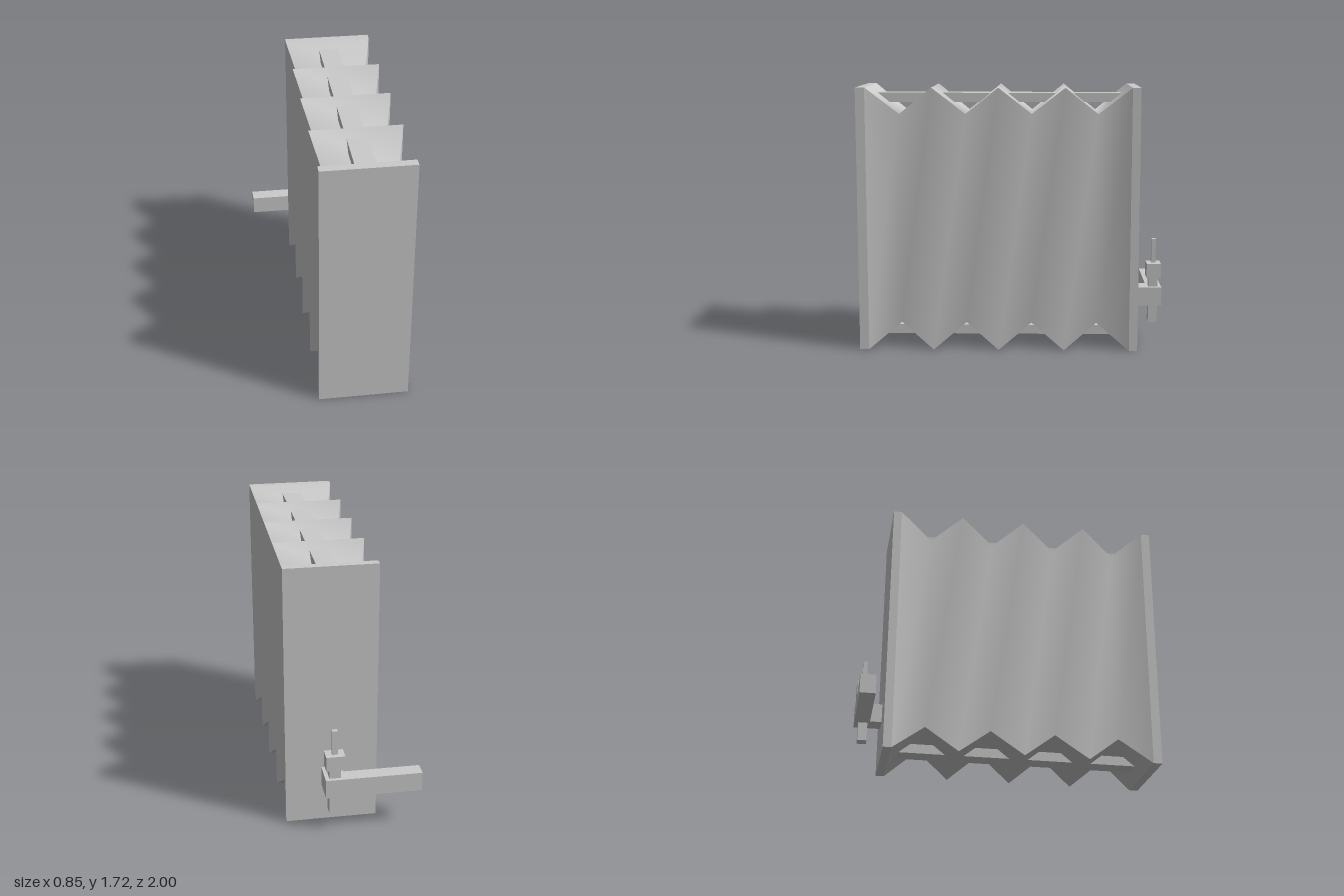
import * as THREE from 'three';

const CX = 0.1275, CY = 0.86, W = 0.585, H = 1.72;
const FRONT = 0.94, BACK = -0.77, FOLDS = 8;

export function createModel() {
  const group = new THREE.Group();
  const material = new THREE.MeshStandardMaterial({ color: 0xcccccc });

  const add = (name, geometry) => {
    const mesh = new THREE.Mesh(geometry, material);
    mesh.name = name;
    group.add(mesh);
    return mesh;
  };
  // Box given by its limits on each axis
  const box = (name, [x0, x1], [y0, y1], [z0, z1]) =>
    add(name, new THREE.BoxGeometry(x1 - x0, y1 - y0, z1 - z0))
      .position.set((x0 + x1) / 2, (y0 + y1) / 2, (z0 + z1) / 2);

  // End boards
  const boardX = [CX - W / 2, CX + W / 2];
  box('frontBoard', boardX, [0, H], [FRONT, 1]);
  box('backBoard', boardX, [0, H], [-0.825, BACK]);

  // Bellows: four pleated walls, smooth along the folds, sharp at the corners
  const corners = [[1, -1], [1, 1], [-1, 1], [-1, -1]];
  const wallNames = ['bellowsLeft', 'bellowsTop', 'bellowsRight', 'bellowsBottom'];
  wallNames.forEach((name, k) => {
    const ends = [corners[k], corners[(k + 1) % 4]];
    const positions = [], index = [];
    for (let i = 0; i <= FOLDS; i++) {
      const s = i % 2 ? 0.8 : 1;
      const z = FRONT + (BACK - FRONT) * i / FOLDS;
      for (const [x, y] of ends) positions.push(CX + x * s * W / 2, CY + y * s * H / 2, z);
      if (i < FOLDS) {
        const a = 2 * i;
        index.push(a, a + 2, a + 3, a, a + 3, a + 1);
      }
    }
    const geometry = new THREE.BufferGeometry();
    geometry.setAttribute('position', new THREE.Float32BufferAttribute(positions, 3));
    geometry.setIndex(index);
    geometry.computeVertexNormals();
    add(name, geometry);
  });

  // Straps running through the pleats
  box('topStrap', [0.062, 0.192], [1.615, 1.675], [BACK, FRONT]);
  box('bottomStrap', [0.062, 0.192], [0.05, 0.112], [BACK, FRONT]);

  // Crank arm with its bracket on the back board
  box('armBracket', [0.062, 0.19], [0.25, 0.375], [-0.9, -0.825]);
  box('arm', [-0.425, 0.19], [0.25, 0.375], [-1, -0.9]);

  // Upright post through the arm, with collar and thin tip
  box('post', [0.09, 0.165], [0.128, 0.44], [-0.975, -0.915]);
  box('postCollar', [0.067, 0.187], [0.438, 0.535], [-0.995, -0.9]);
  box('postTip', [0.11, 0.145], [0.535, 0.697], [-0.962, -0.933]);

  return group;
}
